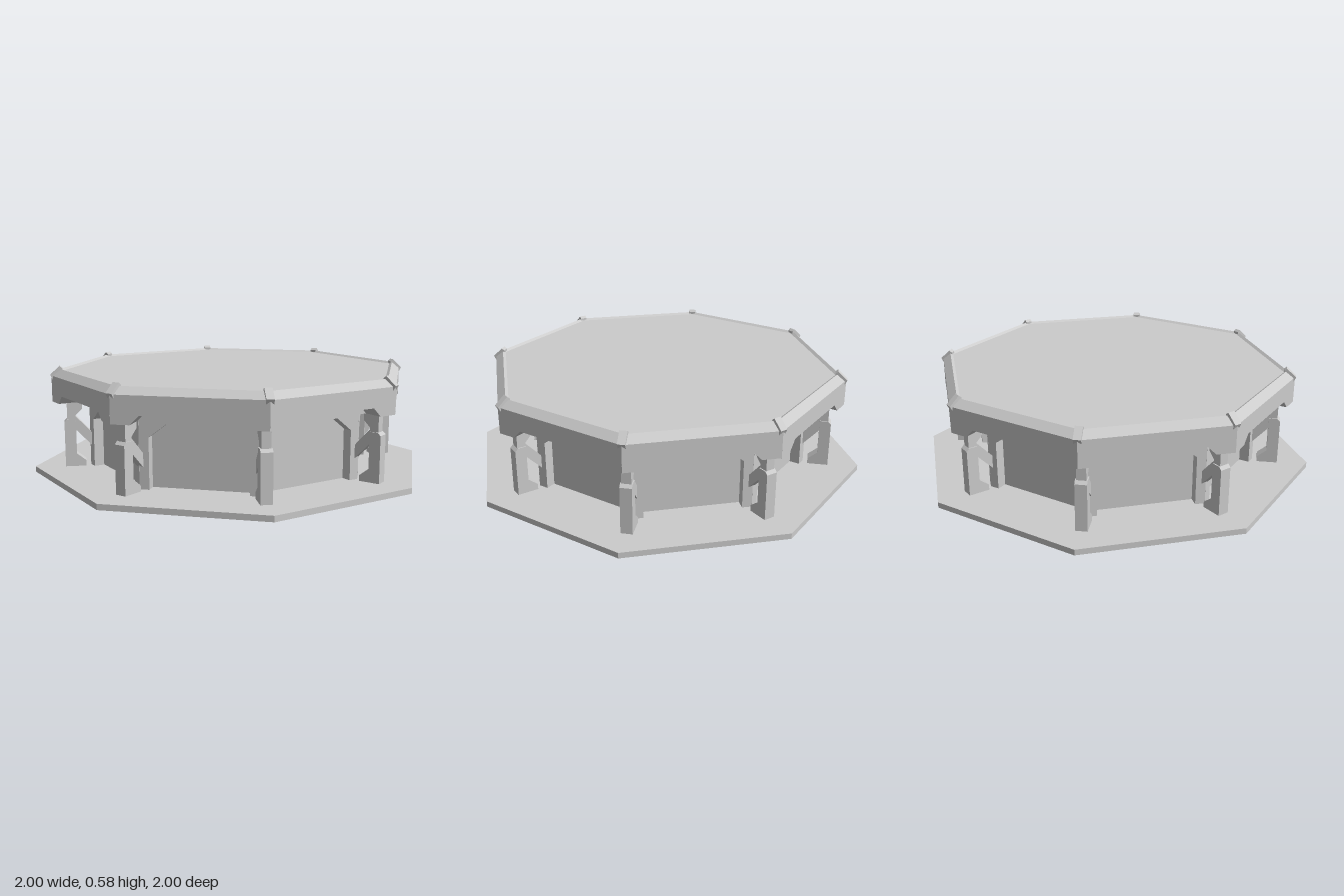
import * as THREE from 'three';

const STEP = Math.PI / 4;
const material = new THREE.MeshStandardMaterial({ color: 0xcccccc, flatShading: true });

function part(name, geometry) {
  const g = geometry.index ? geometry.toNonIndexed() : geometry;
  g.computeVertexNormals();
  const mesh = new THREE.Mesh(g, material);
  mesh.name = name;
  return mesh;
}

// Eight-sided solid from [apothem, y] points, flats facing the axes
function octagon(name, points) {
  const profile = points.map(([a, y]) => new THREE.Vector2(a / Math.cos(STEP / 2), y));
  return part(name, new THREE.LatheGeometry(profile, 8, STEP / 2));
}

// Outline extruded from z = back to z = front
function slab(name, points, back, front) {
  const shape = new THREE.Shape(points.map(([x, y]) => new THREE.Vector2(x, y)));
  const g = new THREE.ExtrudeGeometry(shape, { depth: front - back, bevelEnabled: false });
  return part(name, g.translate(0, 0, back));
}

// One wall bay: arched frame and the notched edge of the roof above it
function createBay() {
  const bay = new THREE.Group();
  bay.name = 'bay';
  bay.add(slab('wallFrame', [
    [-0.3, 0.03], [-0.25, 0.03], [-0.25, 0.29], [-0.16, 0.36], [0.16, 0.36],
    [0.25, 0.29], [0.25, 0.03], [0.3, 0.03], [0.3, 0.385], [-0.3, 0.385],
  ], 0.665, 0.725));
  bay.add(slab('fasciaEndRight', [[-0.375, 0.385], [-0.28, 0.385], [-0.235, 0.43], [-0.375, 0.43]], 0.79, 0.905));
  bay.add(slab('fasciaEndLeft', [[0.28, 0.385], [0.375, 0.385], [0.375, 0.43], [0.235, 0.43]], 0.79, 0.905));
  return bay;
}

// One corner: column with inward brace, brackets and a roof cap; x runs outward
function createCorner() {
  const corner = new THREE.Group();
  corner.name = 'corner';
  corner.add(slab('columnBase', [
    [0.81, 0.03], [0.92, 0.03], [0.92, 0.275], [0.905, 0.29], [0.86, 0.29], [0.86, 0.1], [0.81, 0.06],
  ], -0.03, 0.03));
  corner.add(slab('columnShaft', [
    [0.86, 0.27], [0.905, 0.27], [0.905, 0.386], [0.825, 0.386], [0.825, 0.345], [0.86, 0.31],
  ], -0.024, 0.024));
  corner.add(slab('brace', [[0.77, 0.135], [0.87, 0.24], [0.87, 0.315], [0.77, 0.205]], -0.02, 0.02));
  corner.add(slab('roofCap', [
    [0.972, 0.505], [0.985, 0.53], [0.934, 0.576], [0.92, 0.565], [0.92, 0.54],
  ], -0.019, 0.019));
  return corner;
}

export function createModel() {
  const model = new THREE.Group();
  model.name = 'octagonalPlatform';

  model.add(octagon('basePlate', [[0, 0], [1, 0], [1, 0.03], [0, 0.03]]));
  model.add(octagon('wallPanels', [[0, 0.03], [0.67, 0.03], [0.67, 0.385], [0, 0.385]]));
  model.add(octagon('soffit', [[0, 0.385], [0.8, 0.385], [0.8, 0.43], [0, 0.43]]));
  model.add(octagon('roof', [
    [0, 0.43], [0.905, 0.43], [0.905, 0.525], [0.865, 0.56], [0.85, 0.55], [0, 0.55],
  ]));

  for (let i = 0; i < 8; i++) {
    const bay = createBay();
    bay.rotation.y = i * STEP;
    const corner = createCorner();
    corner.rotation.y = (i + 0.5) * STEP;
    model.add(bay, corner);
  }
  return model;
}
